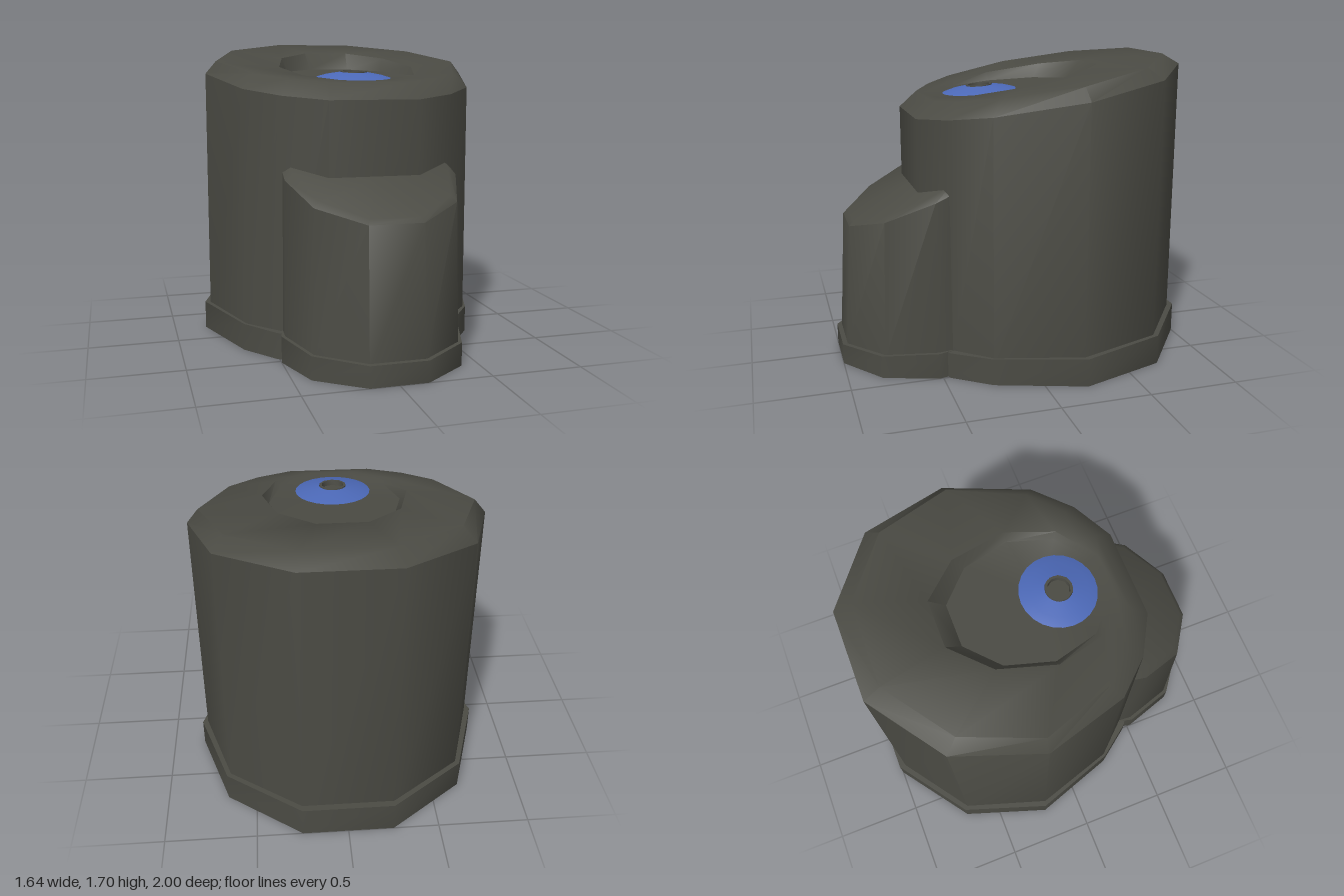
import * as THREE from 'three';
import { toCreasedNormals } from 'three/addons/utils/BufferGeometryUtils.js';

// Full ring from its left half [x, z] (front to back), with height given by a rule of z
function ring(half, height) {
  const left = half.map(([x, z]) => new THREE.Vector3(x, height(z), z));
  const right = left.map((p) => new THREE.Vector3(-p.x, p.y, p.z)).reverse();
  return [...left, ...right];
}

// Skin a stack of rings, with optional flat caps
function loft(rings, capBottom, capTop) {
  const out = [];
  const tri = (...points) => points.forEach((p) => out.push(p.x, p.y, p.z));
  const n = rings[0].length;
  for (let r = 0; r < rings.length - 1; r++) {
    const a = rings[r], b = rings[r + 1];
    for (let i = 0; i < n; i++) {
      const j = (i + 1) % n;
      tri(a[i], a[j], b[j]);
      tri(a[i], b[j], b[i]);
    }
  }
  const cap = (points, up) => {
    const c = new THREE.Vector3();
    points.forEach((p) => c.addScaledVector(p, 1 / n));
    points.forEach((p, i) => {
      const q = points[(i + 1) % n];
      if (up) tri(c, p, q); else tri(c, q, p);
    });
  };
  if (capBottom) cap(rings[0], false);
  if (capTop) cap(rings[rings.length - 1], true);
  const geometry = new THREE.BufferGeometry();
  geometry.setAttribute('position', new THREE.Float32BufferAttribute(out, 3));
  return toCreasedNormals(geometry, 0.75);
}

export function createModel() {
  const model = new THREE.Group();
  const dark = new THREE.MeshStandardMaterial({ color: 0x4b4b44 });
  dark.name = 'dark grey';
  const blue = new THREE.MeshStandardMaterial({ color: 0x4c69b8 });
  blue.name = 'blue';

  const add = (name, geometry, material, parent = model) => {
    const mesh = new THREE.Mesh(geometry, material);
    mesh.name = name;
    parent.add(mesh);
    return mesh;
  };

  const ground = () => 0;
  const plinthTop = (z) => 0.145 + (0.46 - z) * 0.018;
  const frontPlinthTop = (z) => 0.115 + (1 - z) * 0.06;

  // Plinth under the main drum
  const plinth = [[0.25, 0.6], [0.51, 0.46], [0.66, 0.26], [0.82, -0.22], [0.66, -0.7], [0.25, -1]];
  add('mainPlinth', loft([ring(plinth, ground), ring(plinth, plinthTop)], true, true), dark);

  // Main drum: wall, bevelled rim, sloping top and sunken dish
  const wall = [[0.25, 0.57], [0.47, 0.445], [0.645, 0.255], [0.79, -0.21], [0.64, -0.68], [0.25, -0.962]];
  const bevel = [[0.23, 0.475], [0.42, 0.365], [0.58, 0.2], [0.73, -0.2], [0.58, -0.61], [0.23, -0.865]];
  const dish = [[0.11, 0.4], [0.2, 0.325], [0.29, 0.25], [0.36, 0], [0.29, -0.26], [0.12, -0.42]];
  const lip = dish.map(([x, z]) => [x * 1.1, z * (z > 0 ? 1.08 : 1.2)]);
  const topPlane = (z) => 1.48 + (0.47 - z) * 0.165;
  add('mainDrum', loft([
    ring(wall, () => 0.1),
    ring(wall, (z) => 1.39 + (0.57 - z) * 0.165),
    ring(bevel, topPlane),
    ring(lip, topPlane),
    ring(dish, (z) => 1.483 + (0.4 - z) * 0.07),
  ], false, true), dark);

  // Smaller drum projecting from the front, with its own plinth
  const frontPlinth = [[0.155, 1], [0.405, 0.815], [0.5, 0.52], [0.48, 0.43], [0.15, 0.3]];
  add('frontPlinth', loft([ring(frontPlinth, ground), ring(frontPlinth, frontPlinthTop)], true, true), dark);

  const frontFoot = [[0.15, 0.975], [0.39, 0.8], [0.48, 0.52], [0.475, 0.43], [0.15, 0.3]];
  const frontRim = [[0.145, 0.935], [0.38, 0.775], [0.475, 0.52], [0.47, 0.43], [0.15, 0.3]];
  const frontTop = [[0.135, 0.91], [0.35, 0.755], [0.435, 0.51], [0.43, 0.43], [0.13, 0.3]];
  add('frontDrum', loft([
    ring(frontFoot, () => 0.1),
    ring(frontRim, (z) => 0.8 + (0.935 - z) * 0.43),
    ring(frontTop, (z) => 0.825 + (0.91 - z) * 0.48),
  ], false, true), dark);

  // Low blue collar and hollow socket, tilted with the dish floor
  const button = new THREE.Group();
  button.name = 'button';
  button.position.set(0, 1.5, 0.155);
  button.rotation.x = 0.07;
  model.add(button);
  const lathe = (points, segments) =>
    new THREE.LatheGeometry(points.map(([r, y]) => new THREE.Vector2(r, y)), segments);
  add('collar', lathe([[0.21, 0], [0.16, 0.015], [0.075, 0.03]], 24), blue, button);
  add('socket', toCreasedNormals(
    lathe([[0.077, 0.02], [0.075, 0.035], [0.062, 0.035], [0.06, 0.008], [0, 0.008]], 10), 0.75), dark, button);

  return model;
}
